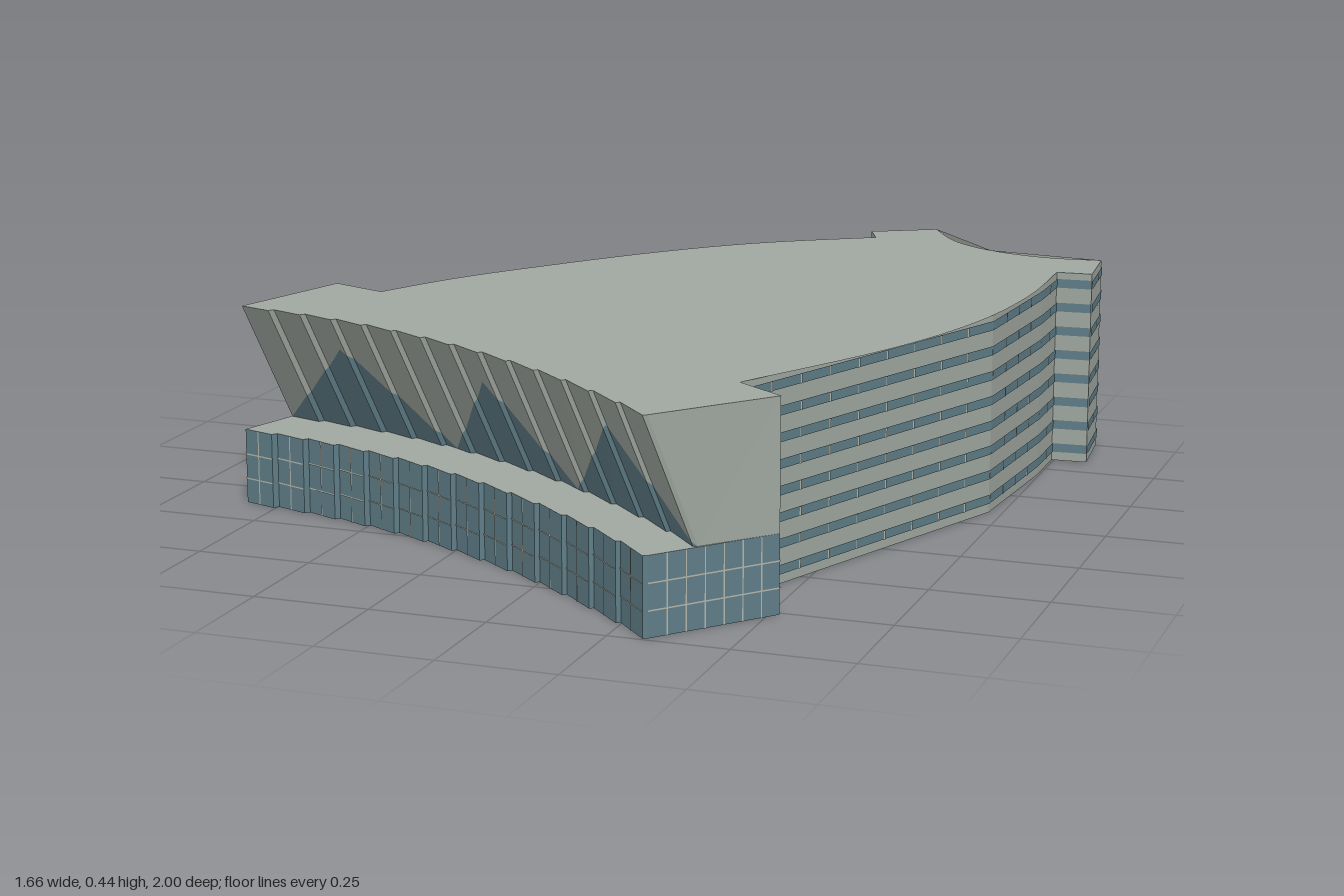
import * as THREE from 'three';

const H = 0.44, POD = 0.165, BAYS = 14;

const concrete = new THREE.MeshStandardMaterial({ color: 0xa0a7a0, side: THREE.DoubleSide });
concrete.name = 'concrete';
const glass = new THREE.MeshStandardMaterial({ color: 0x5f7d87, side: THREE.DoubleSide });
glass.name = 'blue glass';
const trim = new THREE.MeshStandardMaterial({ color: 0xb4b6a8, side: THREE.DoubleSide });
trim.name = 'pale mullion';

// Collects quads given by four corners, counter-clockwise from outside
class Quads {
  constructor() { this.v = []; }
  add(a, b, c, d) { this.v.push(...a, ...b, ...c, ...a, ...c, ...d); }
  // Upright plate along plan edge a-b between fractions s0..s1, pushed outward
  plate(a, b, y0, y1, off = 0, s0 = 0, s1 = 1) {
    const dx = b[0] - a[0], dz = b[1] - a[1], l = Math.hypot(dx, dz);
    const at = (s, y) => [a[0] + dx * s - (dz / l) * off, y, a[1] + dz * s + (dx / l) * off];
    this.add(at(s0, y0), at(s1, y0), at(s1, y1), at(s0, y1));
  }
  mesh(name, material) {
    const g = new THREE.BufferGeometry();
    g.setAttribute('position', new THREE.Float32BufferAttribute(this.v, 3));
    g.computeVertexNormals();
    const m = new THREE.Mesh(g, material);
    m.name = name;
    return m;
  }
}

// Horizontal slab face from a plan outline
function cap(name, pts, y, faceDown = false) {
  const g = new THREE.ShapeGeometry(new THREE.Shape(pts.map(([x, z]) => new THREE.Vector2(x, -z))));
  g.rotateX(-Math.PI / 2);
  if (faceDown) {
    g.scale(1, -1, 1);
    g.index.array.reverse();
    g.computeVertexNormals();
  }
  g.translate(0, y, 0);
  const m = new THREE.Mesh(g, concrete);
  m.name = name;
  return m;
}

// Smooth plan curve through a few points
function arc(pts, n = 24) {
  const c = new THREE.SplineCurve(pts.map(p => new THREE.Vector2(...p)));
  return c.getPoints(n).map(p => [p.x, p.y]);
}

// Saw-tooth front: each bay swells forward, then steps back
const STEP = 0.1;
function tooth(u) {
  if (u <= 0 || u >= 1) return 0;
  const f = (u * BAYS) % 1;
  return 0.013 * (f < 1 - STEP ? f / (1 - STEP) : (1 - f) / STEP);
}
const topEdge = u => [-0.83 + 1.16 * u, 0.37 + 0.14 * u + 0.48 * u * u + tooth(u)];
const lowEdge = u => [-0.785 + 1.185 * u, 0.23 + 0.14 * u + 0.53 * u * u + tooth(u)];
// Point on the leaning facade, t = 0 at the podium, 1 at the roof
function lean(u, t) {
  const a = lowEdge(u), b = topEdge(u);
  return [a[0] + (b[0] - a[0]) * t, POD + (H - POD) * t, a[1] + (b[1] - a[1]) * t];
}

export function createModel() {
  const model = new THREE.Group();

  // Tooth break points along the front
  const us = [0];
  for (let i = 0; i < BAYS; i++) us.push((i + 1 - STEP) / BAYS, (i + 1) / BAYS);
  us[us.length - 1] = 1;
  const front = us.map(topEdge);

  // Plan outlines, counter-clockwise from the front left corner
  const endR = [0.52, 0.76], inR = [0.41, 0.68], inL = [-0.61, 0.13], endL = [-0.74, 0.08];
  const backWalls = [
    inR, [0.72, -0.1], [0.745, -0.44], [0.745, -0.585], [0.825, -0.59], [0.81, -0.755],
    [0.54, -0.785], [0.35, -1], [0.21, -0.92], [0.24, -0.85], [-0.37, -0.25], inL,
  ];
  const roofOutline = [
    ...front, endR,
    ...arc([inR, [0.6, 0.31], [0.705, 0], [0.747, -0.3], [0.745, -0.585]]),
    [0.825, -0.59],
    ...arc([[0.81, -0.755], [0.68, -0.745], [0.54, -0.785], [0.43, -0.87], [0.35, -1]], 16),
    [0.21, -0.92],
    ...arc([[0.24, -0.85], [0, -0.69], [-0.2, -0.49], [-0.4, -0.23], [-0.52, -0.05], inL]),
    endL,
  ];
  model.add(cap('roof', roofOutline, H));
  model.add(cap('floor', [...front, endR, ...backWalls, endL], 0, true));
  model.add(cap('podiumRoof', [...front, endR, inR, inL, endL], POD));

  // Side and rear walls with eight window bands and their mullions
  const walls = new Quads(), bands = new Quads(), ticks = new Quads();
  for (let i = 0; i < backWalls.length - 1; i++) {
    const a = backWalls[i], b = backWalls[i + 1];
    const len = Math.hypot(b[0] - a[0], b[1] - a[1]);
    walls.plate(a, b, 0, H);
    const n = Math.round(len / 0.09);
    for (let k = 0; k < 8; k++) {
      const y = 0.02 + k * 0.055;
      bands.plate(a, b, y, y + 0.02, 0.002);
      for (let j = 1; j < n; j++) {
        const s = j / n, w = 0.0025 / len;
        ticks.plate(a, b, y, y + 0.02, 0.004, s - w, s + w);
      }
    }
  }
  model.add(walls.mesh('sideAndRearWalls', concrete));
  model.add(bands.mesh('windowBands', glass));
  model.add(ticks.mesh('windowMullions', trim));

  // Glazed podium with a fine grid
  const podium = new Quads(), grid = new Quads();
  const ring = [inL, endL, ...front, endR, inR];
  for (let i = 0; i < ring.length - 1; i++) {
    const a = ring[i], b = ring[i + 1];
    const len = Math.hypot(b[0] - a[0], b[1] - a[1]);
    podium.plate(a, b, 0, POD);
    if (len < 0.03) continue;
    for (const y of [0.055, 0.11]) grid.plate(a, b, y - 0.0015, y + 0.0015, 0.002);
    const n = Math.max(2, Math.round(len / 0.045));
    for (let j = 1; j < n; j++) {
      const s = j / n, w = 0.0015 / len;
      grid.plate(a, b, 0, POD, 0.002, s - w, s + w);
    }
  }
  model.add(podium.mesh('podiumGlass', glass));
  model.add(grid.mesh('podiumMullions', trim));

  // Leaning facade, split along three triangular glazed areas
  const feet = [0, 0.385, 0.69, 1], peaks = [0.195, 0.54, 0.855];
  const height = u => {
    for (let i = 0; i < 3; i++) {
      if (u > feet[i + 1]) continue;
      const f = u < peaks[i] ? (u - feet[i]) / (peaks[i] - feet[i]) : (feet[i + 1] - u) / (feet[i + 1] - peaks[i]);
      return 0.73 * f;
    }
    return 0;
  };
  const cuts = [...new Set([...us, ...feet, ...peaks])].sort((a, b) => a - b);
  const facade = new Quads(), triangles = new Quads();
  for (let i = 0; i < cuts.length - 1; i++) {
    const a = cuts[i], b = cuts[i + 1], ha = height(a), hb = height(b);
    // Order the corners so that the non-empty triangle is always kept
    triangles.add(lean(a, 0), lean(b, 0), lean(b, hb), lean(a, ha));
    facade.add(lean(a, ha), lean(b, hb), lean(b, 1), lean(a, 1));
  }
  model.add(facade.mesh('leaningFacade', concrete));
  model.add(triangles.mesh('triangularGlazing', glass));

  // Plain upper ends of the front wings
  const ends = new Quads();
  const p = ([x, z], y) => [x, y, z];
  ends.add(lean(1, 0), p(endR, POD), p(endR, H), lean(1, 1));
  ends.add(p(endL, POD), lean(0, 0), lean(0, 1), p(endL, H));
  ends.plate(endR, inR, POD, H);
  ends.plate(inL, endL, POD, H);
  model.add(ends.mesh('wingEnds', concrete));

  return model;
}
